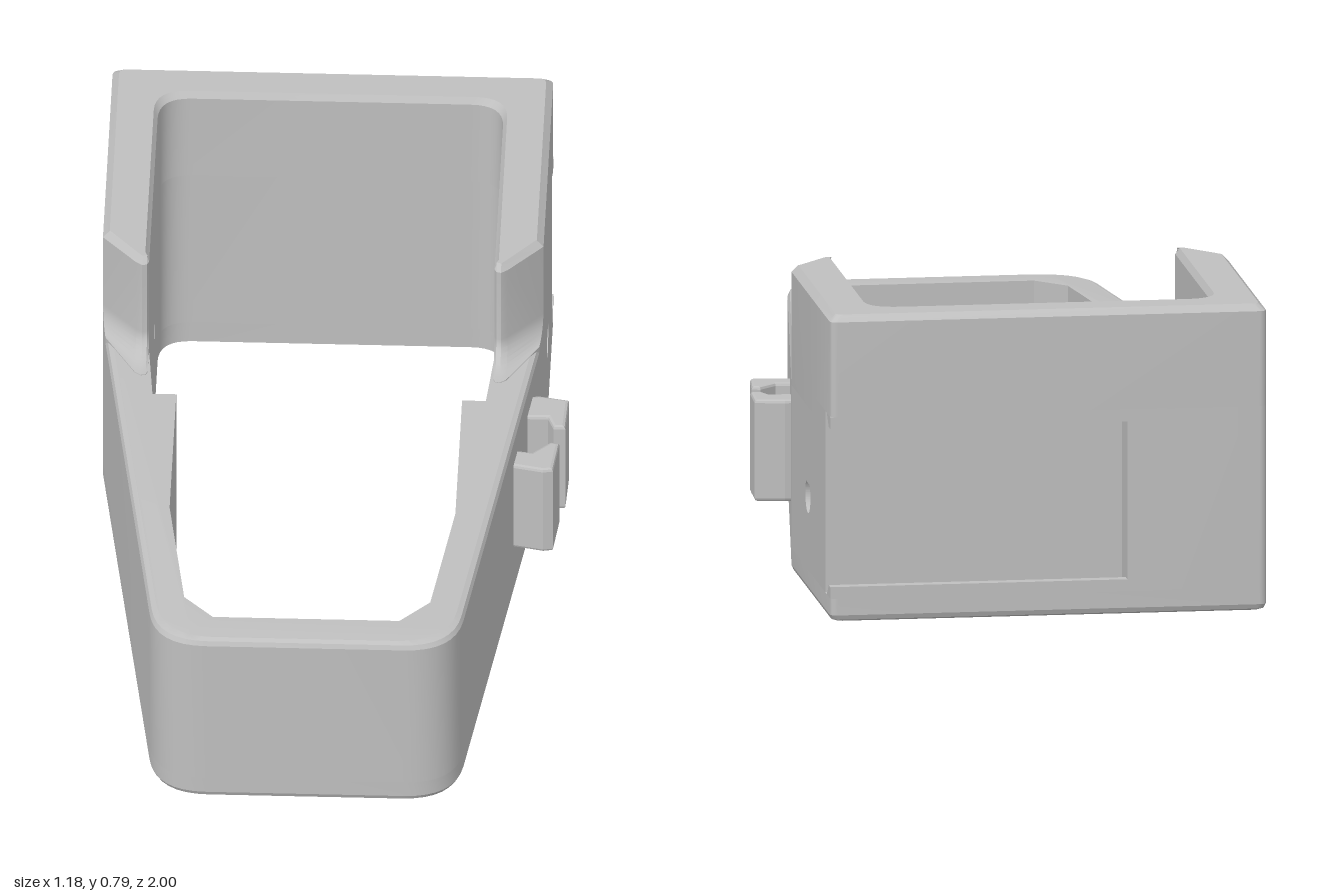
import * as THREE from 'three';
import { toCreasedNormals } from 'three/addons/utils/BufferGeometryUtils.js';

const CX = -0.04; // symmetry plane of the frame

// Rounds the corners [u, z, r] of an open path
function rounded(path) {
  const out = [];
  path.forEach(([u, z, r], i) => {
    if (!r) return out.push([u, z]);
    const p = new THREE.Vector2(u, z);
    const toward = (q) => new THREE.Vector2(q[0], q[1]).sub(p).setLength(r).add(p);
    const curve = new THREE.QuadraticBezierCurve(toward(path[i - 1]), p, toward(path[i + 1]));
    curve.getPoints(8).forEach((c) => out.push([c.x, c.y]));
  });
  return out;
}

// Half outlines in (distance from symmetry plane, z), inset by d
const side = (pts, s) => pts.map(([u, z]) => [CX + s * u, z]);
const both = (half) => [...side(half, 1), ...side(half, -1).reverse()];
const frontOuter = (d) => rounded([[0.555 - d, -0.31], [0.378 - d, 1 - d, 0.13], [0, 1 - d]]);
const frontInner = [[0.435, -0.31], [0.435, -0.2], [0.42, -0.02], [0.36, -0.02],
  [0.36, 0.45], [0.31, 0.82], [0.235, 0.9]];
const backOuter = (d, zEnd) => rounded([[0, -1 + d], [0.555 - d, -1 + d, 0.02], [0.555 - d, zEnd]]).slice(1);
const backInner = (d, zEnd) => rounded([[0, -0.89 - d], [0.435 + d, -0.89 - d, 0.085], [0.435 + d, zEnd]]).slice(1);
const band = (outer, inner) => [...both(outer), ...both(inner).reverse()];

const area = (c) => c.reduce((s, [x, z], i) => {
  const [x2, z2] = c[(i + 1) % c.length];
  return s + x * z2 - x2 * z;
}, 0);

// Lofts plan outlines through levels { y, plan, hole } and caps both ends
function stack(levels) {
  const pos = [];
  const tri = (a, b, c, flip) => pos.push(...a, ...(flip ? c : b), ...(flip ? b : c));
  const at = ([x, z], y) => [x, y, z];
  for (const key of ['plan', 'hole']) {
    if (!levels[0][key]) continue;
    const flip = (area(levels[0][key]) > 0) !== (key === 'hole');
    for (let k = 0; k < levels.length - 1; k++) {
      const lo = levels[k], hi = levels[k + 1], n = lo[key].length;
      for (let i = 0; i < n; i++) {
        const j = (i + 1) % n;
        const a = at(lo[key][i], lo.y), b = at(lo[key][j], lo.y);
        const c = at(hi[key][j], hi.y), d = at(hi[key][i], hi.y);
        tri(a, b, c, flip);
        tri(a, c, d, flip);
      }
    }
  }
  [levels[0], levels[levels.length - 1]].forEach((l, top) => {
    const vec = (c) => c.map(([x, z]) => new THREE.Vector2(x, z));
    const holes = l.hole ? [vec(l.hole)] : [];
    const all = [...l.plan, ...(l.hole || [])];
    for (const f of THREE.ShapeUtils.triangulateShape(vec(l.plan), holes)) {
      const t = f.map((i) => all[i]);
      tri(...t.map((p) => at(p, l.y)), (area(t) > 0) === (top === 1));
    }
  });
  const g = new THREE.BufferGeometry();
  g.setAttribute('position', new THREE.Float32BufferAttribute(pos, 3));
  return toCreasedNormals(g, 0.35);
}

// Extrudes a (-z, y) profile along x
function alongX(shape, x0, x1) {
  return new THREE.ExtrudeGeometry(shape, { depth: x1 - x0, bevelEnabled: false, curveSegments: 24 })
    .rotateY(Math.PI / 2).translate(x0, 0, 0);
}
const polygon = (pts) => new THREE.Shape(pts.map(([a, b]) => new THREE.Vector2(a, b)));

export function createModel() {
  const group = new THREE.Group();
  const grey = new THREE.MeshStandardMaterial({ color: 0xbfbfbf });
  grey.name = 'plain grey';
  const add = (name, geometry) => {
    const mesh = new THREE.Mesh(geometry, grey);
    mesh.name = name;
    group.add(mesh);
  };

  const low = 0.478;   // top of the side panels
  const rim = 0.495;   // top of the front frame
  const high = 0.785;  // top of the rear tower
  const r = 0.017;     // edge rounding
  const edge = [[0, r], [0.7 * r, 0.3 * r], [r, 0]]; // height, inset

  // Base ring with a softened bottom edge
  const baseHole = both([...backInner(0, -0.31), ...frontInner.slice(1)]);
  const basePlan = (d) => both([...backOuter(d, -0.31), ...frontOuter(d).slice(1, -1)]);
  add('baseRing', stack([
    { y: 0, plan: basePlan(r), hole: baseHole },
    { y: 0.3 * r, plan: basePlan(0.3 * r), hole: baseHole },
    { y: r, plan: basePlan(0), hole: baseHole },
    { y: 0.06, plan: basePlan(0), hole: baseHole },
  ]));

  // Tapered front frame with a softened rim
  const frontPlan = (d) => band(frontOuter(d).slice(0, -1), frontInner);
  add('frontFrame', stack([
    { y: 0.06, plan: frontPlan(0) },
    { y: rim - r, plan: frontPlan(0) },
    { y: rim - 0.3 * r, plan: frontPlan(0.3 * r) },
    { y: rim, plan: frontPlan(r) },
  ]));

  // Side panels with stepped teardrop holes
  const teardrop = (rad) => {
    const p = new THREE.Path();
    p.moveTo(0.6, 0.25 + rad * 1.42);
    p.absarc(0.6, 0.25, rad, Math.PI * 0.75, Math.PI * 2.25, false);
    p.closePath();
    return p;
  };
  const panel = (rad) => {
    const s = polygon([[0.31, 0.06], [0.7, 0.06], [0.7, low], [0.31, low]]);
    s.holes.push(teardrop(rad));
    return s;
  };
  add('leftPanelOuter', alongX(panel(0.045), 0.465, 0.515));
  add('leftPanelInner', alongX(panel(0.027), 0.395, 0.465));
  add('rightPanelOuter', alongX(panel(0.045), -0.595, -0.545));
  add('rightPanelInner', alongX(panel(0.027), -0.545, -0.475));

  // Rear wall, cut back for the sliding slot
  const slotEnd = -0.24, slotTop = 0.525;
  const innerBack = both(backInner(0, -0.7));
  const notched = [[0.515, -0.7], [0.515, -0.908], [slotEnd, -0.908], [slotEnd, -1],
    ...side(backOuter(0, -0.7), -1)];
  const rearPlan = [...notched, ...side(backInner(0, -0.7), -1).reverse(), ...side(backInner(0, -0.7), 1)];
  add('rearWall', stack([{ y: 0.06, plan: rearPlan }, { y: slotTop, plan: rearPlan }]));

  // Undercut lips that hold a sliding plate
  add('lowerSlotLip', alongX(polygon([[0.935, 0.06], [1, 0.06], [1, 0.09], [0.97, 0.09]]), slotEnd, 0.515));
  add('upperSlotLip', alongX(polygon([[0.935, slotTop], [0.97, 0.495], [1, 0.495], [1, slotTop]]), slotEnd, 0.515));

  // Rear of the tower
  const towerPlan = (d) => {
    const o = backOuter(d, -0.7), i = backInner(d * 0.6, -0.7);
    return [...side(o, 1).reverse(), ...side(o, -1), ...side(i, -1).reverse(), ...side(i, 1)];
  };
  add('towerBack', stack([
    { y: slotTop, plan: towerPlan(0) },
    ...edge.map(([h, inv]) => ({ y: high - r + h, plan: towerPlan(r - inv) })),
  ]));

  // Tower arms with chamfered ends flaring down into the rim
  const armPlan = (s, f, d) => {
    const g = f * 0.6 + 0.003;
    return side([[0.555 - d, -0.7], [0.555 - d, -0.31], [0.555 - 0.135 * g - d, -0.31 + g - d * 0.4],
      [0.468 - d * 0.3, -0.207 + f - d], [0.452, -0.195 + f - d], [0.44, -0.198 + f - d],
      [0.435 + d * 0.6, -0.21 + f - d], [0.435 + d * 0.6, -0.7]], s);
  };
  for (const s of [1, -1]) {
    const levels = [{ y: low, plan: armPlan(s, 0.1, 0) }];
    for (let k = 0; k <= 8; k++) {
      const a = (k / 8) * Math.PI / 2;
      levels.push({ y: rim + 0.002 + 0.06 * (1 - Math.cos(a)), plan: armPlan(s, 0.1 * (1 - Math.sin(a)), 0) });
    }
    edge.forEach(([h, inv]) => levels.push({ y: high - r + h, plan: armPlan(s, 0, r - inv) }));
    add(s > 0 ? 'leftTowerArm' : 'rightTowerArm', stack(levels));
  }

  // Pair of hooked clips on the left wall
  const clips = {
    rearClip: [[0.47, -0.155], [0.51, -0.16], [0.585, -0.145], [0.58, -0.03], [0.55, -0.03], [0.535, -0.07], [0.47, -0.07]],
    frontClip: [[0.44, 0.065], [0.5, 0.075], [0.545, 0.03], [0.567, 0.035], [0.555, 0.145], [0.53, 0.15], [0.44, 0.13]],
  };
  for (const [name, pts] of Object.entries(clips)) {
    const b = 0.008;
    add(name, new THREE.ExtrudeGeometry(polygon(pts.map(([x, z]) => [x, -z])), {
      depth: 0.26 - 2 * b, bevelThickness: b, bevelSize: b, bevelOffset: -b, bevelSegments: 2,
    }).rotateX(-Math.PI / 2).translate(0, 0.15 + b, 0));
  }
  return group;
}
